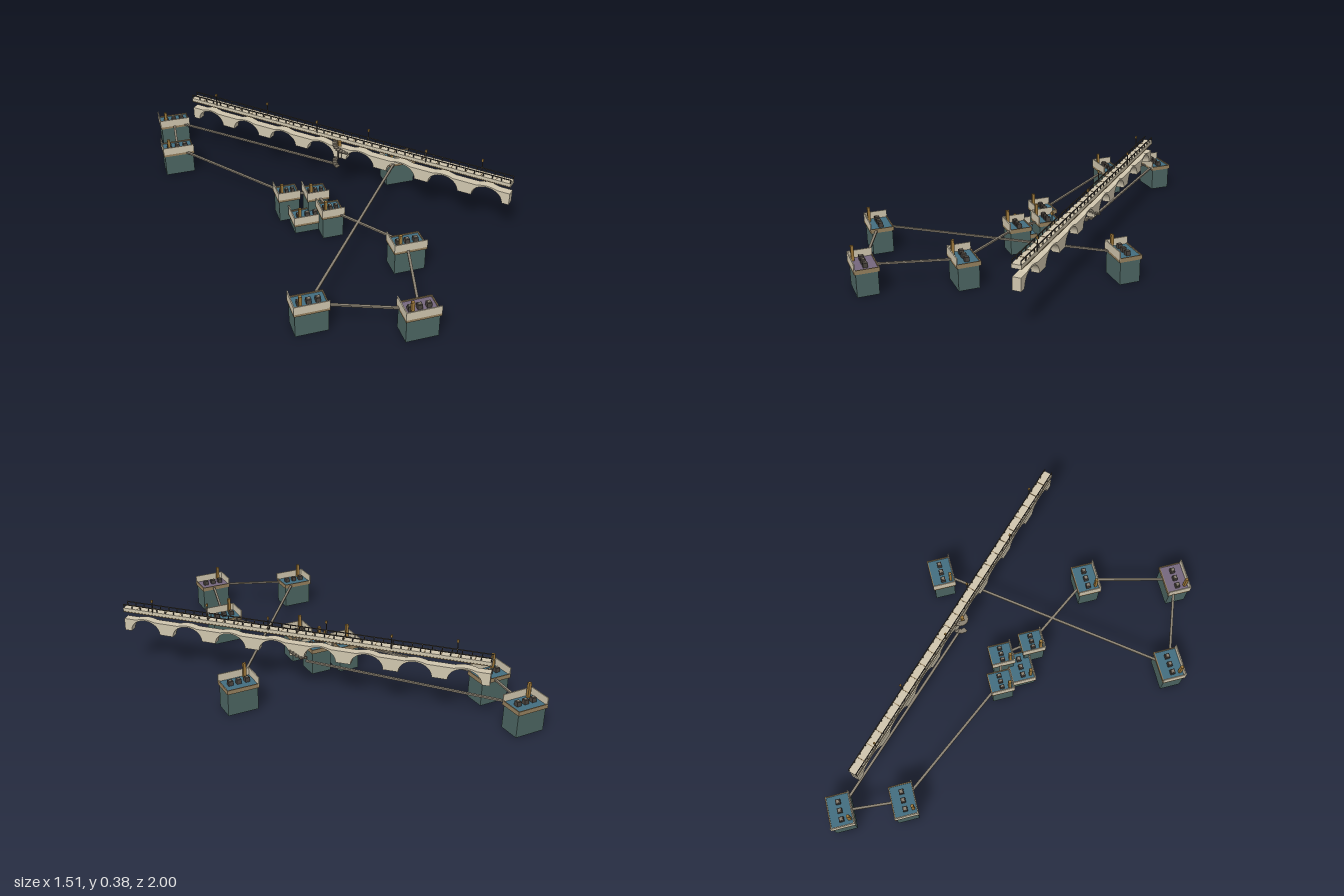
import * as THREE from 'three';

const mat = (color) => new THREE.MeshStandardMaterial({ color, flatShading: true });
const stone = mat(0xd0c6ae), trim = mat(0x96815f), base = mat(0x4c6562), blue = mat(0x436e80),
  purple = mat(0x75677e), brass = mat(0xa07a3c), dark = mat(0x4a443e), path = mat(0x8a8172);

function add(parent, name, geometry, material, x = 0, y = 0, z = 0) {
  const m = new THREE.Mesh(geometry, material);
  m.name = name;
  m.position.set(x, y, z);
  parent.add(m);
  return m;
}
const box = (parent, name, material, w, h, d, x, y, z) =>
  add(parent, name, new THREE.BoxGeometry(w, h, d), material, x, y, z);

// Square-section beam between two points
function beam(parent, name, a, b, material = path, w = 0.012, h = 0.008) {
  const p = new THREE.Vector3(...a), q = new THREE.Vector3(...b);
  const m = box(parent, name, material, w, h, p.distanceTo(q), 0, 0, 0);
  m.position.copy(p).lerp(q, 0.5);
  m.lookAt(q);
  return m;
}

// Room on a tall plinth: y is the top of the plinth
function room(parent, x, z, w, d, y = 0.115, floor = blue) {
  const g = new THREE.Group();
  g.name = 'room';
  g.position.set(x, 0, z);
  parent.add(g);
  box(g, 'plinth', base, w - 0.01, y, d - 0.014, 0, y / 2, 0);
  box(g, 'cornice', trim, w, 0.012, d, 0, y + 0.006, 0);
  box(g, 'floor', floor, w - 0.008, 0.004, d - 0.008, 0, y + 0.013, 0);
  const t = 0.005, h = 0.04, wy = y + 0.012 + h / 2;
  box(g, 'frontWall', stone, w, h, t, 0, wy, d / 2 - t / 2);
  box(g, 'sideWall', stone, t, h, d, -w / 2 + t / 2, wy, 0);
  box(g, 'backRim', trim, w, 0.01, t, 0, y + 0.016, -d / 2 + t / 2);
  box(g, 'sideRim', trim, t, 0.01, d, w / 2 - t / 2, y + 0.016, 0);
  // Row of three small cabinets
  for (const i of [-1, 0, 1]) {
    box(g, 'cabinet', dark, w * 0.14, 0.022, 0.022, i * w * 0.26, y + 0.026, 0);
    box(g, 'cabinetTop', path, w * 0.08, 0.003, 0.012, i * w * 0.26, y + 0.038, 0);
  }
  box(g, 'chimney', brass, 0.014, 0.078, 0.014, -w * 0.29, y + 0.051, d / 2 - 0.02);
}

// Viaduct built along local x
function viaduct(parent) {
  const g = new THREE.Group();
  g.name = 'viaduct';
  g.position.set(0.098, 0, -0.195);
  g.rotation.y = -Math.PI / 4;
  parent.add(g);
  const L = 1.8, W = 0.046, n = 8, s = L / n;
  box(g, 'deck', stone, L, 0.02, W, 0, 0.31, 0);
  for (let i = 1; i < 24; i++) box(g, 'deckJoint', trim, 0.004, 0.002, W, -L / 2 + i * L / 24, 0.3205, 0);
  // Arcade of round-headed openings
  const shape = new THREE.Shape();
  shape.moveTo(-L / 2, 0.2);
  for (let i = 0; i < n; i++) {
    const c = -L / 2 + (i + 0.5) * s;
    shape.lineTo(c - 0.077, 0.2);
    shape.absellipse(c, 0.2, 0.077, 0.064, Math.PI, 0, true);
  }
  shape.lineTo(L / 2, 0.2);
  shape.lineTo(L / 2, 0.262);
  for (let i = n - 1; i >= 0; i--) {
    const c = -L / 2 + (i + 0.5) * s;
    shape.lineTo(c + 0.05, 0.262);
    shape.quadraticCurveTo(c, 0.28, c - 0.05, 0.262);
  }
  shape.lineTo(-L / 2, 0.262);
  shape.closePath();
  const depth = 0.04;
  add(g, 'arcade', new THREE.ExtrudeGeometry(shape, { depth, bevelEnabled: false, curveSegments: 14 }),
    stone, 0, 0, -depth / 2);
  // Railings
  for (const side of [-1, 1]) {
    const z = side * (W / 2 - 0.003);
    box(g, 'handrail', dark, L, 0.004, 0.004, 0, 0.338, z);
    box(g, 'deckEdge', trim, L, 0.004, 0.003, 0, 0.302, side * W / 2);
    for (let i = 0; i <= 40; i++) box(g, 'railPost', dark, 0.004, 0.018, 0.004, (i / 40 - 0.5) * (L - 0.006), 0.329, z);
  }
  // Lamps on alternating sides
  [-0.74, -0.45, -0.13, 0.14, 0.47, 0.74].forEach((x, i) => {
    const z = (i % 2 ? -1 : 1) * (W / 2);
    add(g, 'lampPost', new THREE.CylinderGeometry(0.002, 0.003, 0.065, 6), dark, x, 0.347, z);
    box(g, 'lampHead', brass, 0.009, 0.012, 0.009, x, 0.378, z);
  });
}

export function createModel() {
  const g = new THREE.Group();
  g.name = 'linkedRooms';
  const W = 0.16, D = 0.116, S = 0.112;
  const A = [-0.653, -0.942], B = [-0.68, -0.645], C = [-0.23, -0.058], E = [-0.093, -0.02],
    F = [-0.16, 0.064], H = [-0.066, 0.143], I = [0.193, 0.5], J = [0.082, 0.94],
    K = [-0.352, 0.772], M = [0.41, -0.207];
  for (const p of [A, B, I, K, M]) room(g, ...p, W, D);
  for (const p of [C, E, H]) room(g, ...p, S, D);
  room(g, ...J, W, D, 0.115, purple);
  room(g, ...F, W, D, 0.042);

  // Walkways between rooms, trimmed to stop at their walls
  const links = [[A, B], [B, C], [C, E], [E, H], [H, I], [I, J], [J, K], [K, M]];
  for (const [p, q] of links) {
    const dx = q[0] - p[0], dz = q[1] - p[1];
    const k = Math.min(0.055 / Math.max(Math.abs(dx), Math.abs(dz)), 0.4);
    const at = (t) => [p[0] + dx * t, 0.124, p[1] + dz * t];
    beam(g, 'walkway', at(k), at(1 - k));
  }

  // Ramp rising to the spiral stair under the viaduct
  beam(g, 'ramp', [-0.6, 0.125, -0.89], [0.06, 0.16, -0.2]);

  const stair = new THREE.Group();
  stair.name = 'spiralStair';
  stair.position.set(0.095, 0, -0.185);
  g.add(stair);
  for (let i = 0; i < 22; i++) {
    const a = 2.6 + i * 0.38, r = 0.034;
    const step = box(stair, 'step', path, 0.024, 0.006, 0.016, Math.cos(a) * r, 0.162 + i * 0.0063, Math.sin(a) * r);
    step.rotation.y = -a;
  }
  // Gate frames at mid-height and at deck level
  box(stair, 'gate', dark, 0.016, 0.034, 0.014, -0.015, 0.226, 0.015);
  box(stair, 'gatePanel', stone, 0.01, 0.024, 0.016, -0.015, 0.226, 0.015);
  box(stair, 'lantern', brass, 0.016, 0.026, 0.016, -0.015, 0.293, 0.015);

  viaduct(g);
  return g;
}
